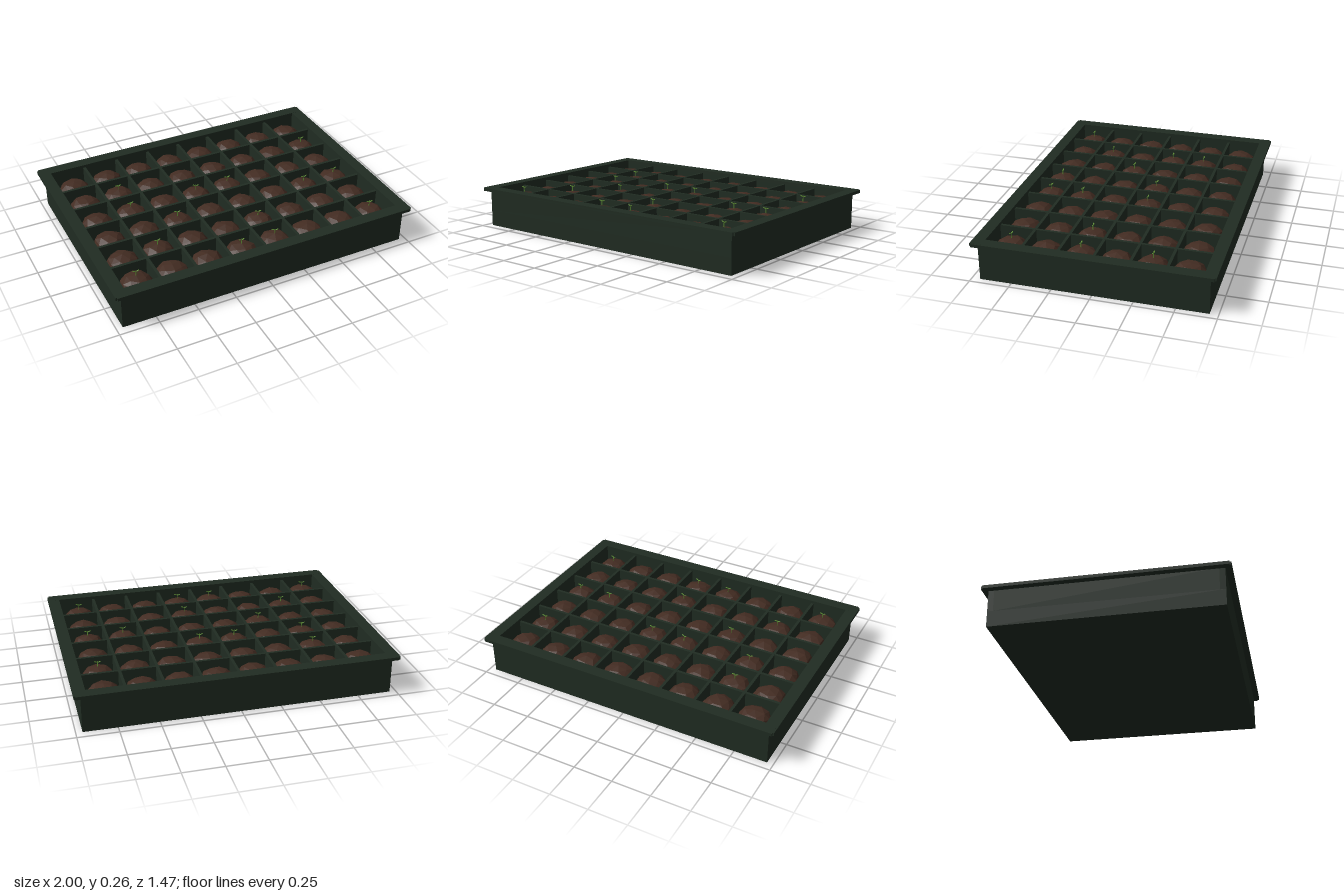
import * as THREE from 'three';

const COLS = 8, ROWS = 6, STEP_X = 0.23, STEP_Z = 0.219;
const colX = (i) => (i - (COLS - 1) / 2) * STEP_X;
const rowZ = (j) => (j - (ROWS - 1) / 2) * STEP_Z;

// Columns that carry a seedling, listed row by row from the back
const SEEDLINGS = [[], [1, 7], [1, 3, 4], [2, 6, 7], [1, 4], [0, 3, 4, 7]];

function makeRandom(seed) {
  return () => {
    seed = (seed * 16807) % 2147483647;
    return seed / 2147483647;
  };
}

function makeMaterial(name, color, options = {}) {
  const m = new THREE.MeshStandardMaterial({ color, ...options });
  m.name = name;
  return m;
}

export function createModel() {
  const model = new THREE.Group();
  model.name = 'seedTray';
  const rand = makeRandom(4711);

  const plastic = makeMaterial('dark green plastic', 0x202c22);
  const soil = makeMaterial('brown soil', 0x432c22, { flatShading: true });
  const leaf = makeMaterial('seedling green', 0x5f8f35, { side: THREE.DoubleSide });

  function box(name, w, h, d, x, y, z, parent = model) {
    const mesh = new THREE.Mesh(new THREE.BoxGeometry(w, h, d), plastic);
    mesh.name = name;
    mesh.position.set(x, y, z);
    parent.add(mesh);
  }

  // Floor and outer walls
  box('floor', 1.92, 0.1, 1.395, 0, 0.05, 0);
  for (const s of [-1, 1]) {
    box('longWall', 1.92, 0.14, 0.035, 0, 0.17, s * 0.68);
    box('shortWall', 0.035, 0.14, 1.325, s * 0.9425, 0.17, 0);
    // Overhanging rim with slightly stepped corners
    box('longRim', 1.98, 0.02, 0.075, 0, 0.245, s * 0.6975);
    box('shortRim', 0.075, 0.02, 1.45, s * 0.9625, 0.2449, 0);
  }

  // Cell dividers
  for (let i = 1; i < COLS; i++) {
    box('columnDivider', 0.018, 0.138, 1.325, colX(i - 0.5), 0.167, 0);
  }
  for (let j = 1; j < ROWS; j++) {
    box('rowDivider', 1.85, 0.137, 0.018, 0, 0.167, rowZ(j - 0.5));
  }

  // Squashed, irregular clod: corners shared by faces move together
  function clodGeometry() {
    const g = new THREE.IcosahedronGeometry(0.1, 1);
    const p = g.attributes.position;
    const phase = rand() * 6.28;
    const v = new THREE.Vector3();
    for (let k = 0; k < p.count; k++) {
      v.fromBufferAttribute(p, k);
      const bump = 1 + 0.035 * Math.sin(v.x * 41 + v.z * 33 + v.y * 57 + phase);
      p.setXYZ(k, v.x * bump, v.y * bump * 0.62, v.z * bump);
    }
    g.computeVertexNormals();
    return g;
  }

  // Stem with a pair of leaves
  const stemGeo = new THREE.CylinderGeometry(0.002, 0.003, 0.04, 5);
  const leafGeo = new THREE.SphereGeometry(0.012, 6, 4).scale(1, 0.25, 0.4);
  function seedling(x, y, z) {
    const group = new THREE.Group();
    group.name = 'seedling';
    const stem = new THREE.Mesh(stemGeo, leaf);
    stem.name = 'stem';
    stem.position.y = 0.015;
    group.add(stem);
    for (const s of [-1, 1]) {
      const blade = new THREE.Mesh(leafGeo, leaf);
      blade.name = 'seedLeaf';
      blade.position.set(s * 0.011, 0.031, s * 0.002);
      blade.rotation.z = s * 0.35;
      group.add(blade);
    }
    group.position.set(x, y, z);
    group.rotation.y = (rand() - 0.5) * 0.5;
    model.add(group);
  }

  // Soil in each cell
  for (let j = 0; j < ROWS; j++) {
    for (let i = 0; i < COLS; i++) {
      const clod = new THREE.Mesh(clodGeometry(), soil);
      clod.name = 'soilClod';
      clod.position.set(colX(i), 0.16, rowZ(j));
      clod.rotation.y = rand() * 6.28;
      model.add(clod);
      if (SEEDLINGS[j].includes(i)) seedling(colX(i), 0.222, rowZ(j));
    }
  }

  return model;
}
